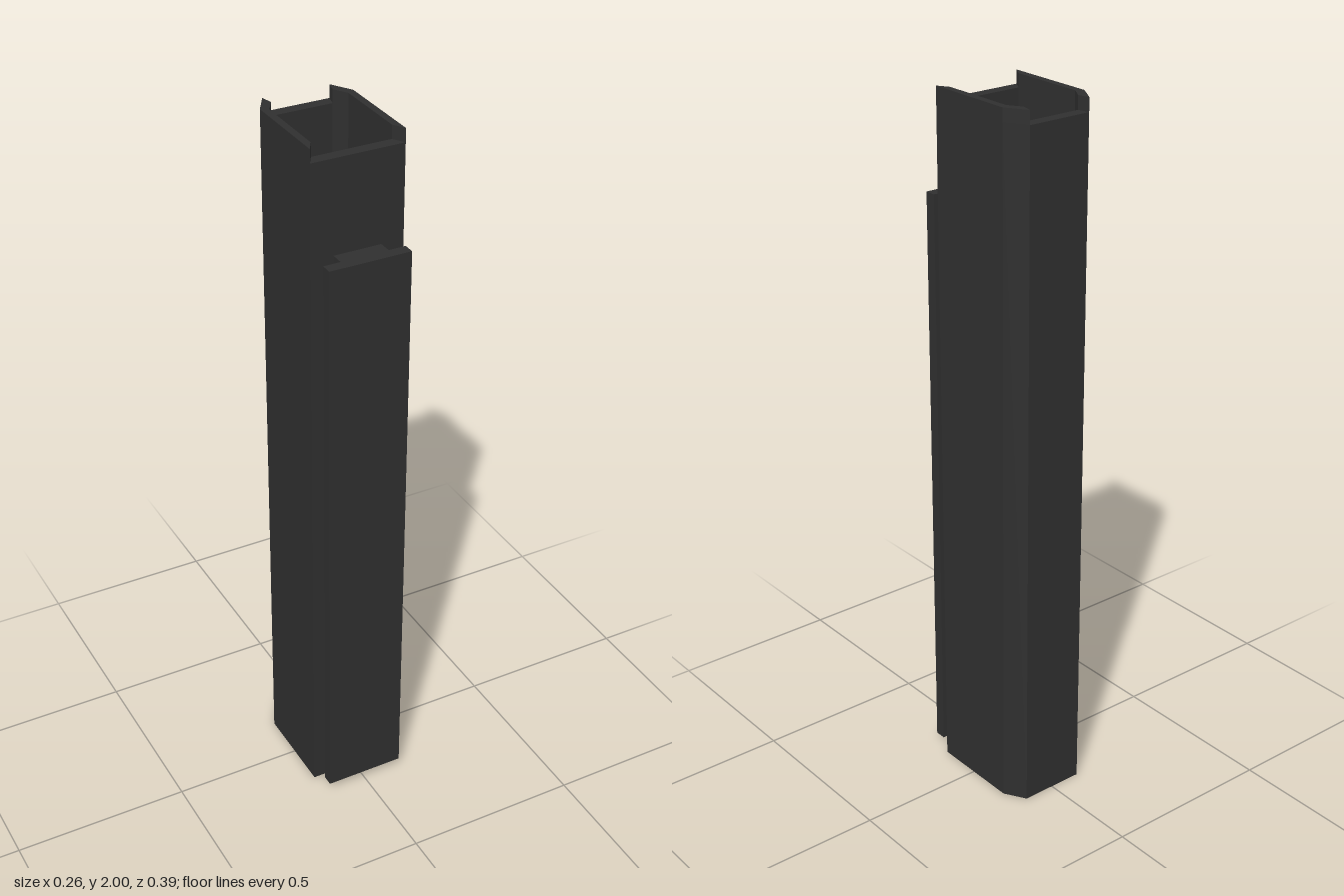
import * as THREE from 'three';

// Outlines as [x, z] for the +x half; mirrored to close the loop
const OUTER = [[0.13, 0.128], [0.13, -0.138], [0.094, -0.198]];
const INNER = [[0.11, 0.095], [0.11, -0.126], [0.086, -0.165]];
const RIM = 1.963;

const mirrored = (pts) => pts.map(([x, z]) => [-x, z]).reverse();
const loop = (half) => [...half, ...mirrored(half)];
const toPoints = (pts) => pts.map(([x, z]) => new THREE.Vector2(x, -z));

// Upright prism from an outline in the ground plane
function prism(name, material, outline, y0, y1, hole) {
  const shape = new THREE.Shape(toPoints(outline));
  if (hole) shape.holes.push(new THREE.Path(toPoints(hole)));
  const geometry = new THREE.ExtrudeGeometry(shape, { depth: y1 - y0, bevelEnabled: false });
  geometry.rotateX(-Math.PI / 2);
  geometry.translate(0, y0, 0);
  const mesh = new THREE.Mesh(geometry, material);
  mesh.name = name;
  return mesh;
}

export function createModel() {
  const group = new THREE.Group();
  group.name = 'hollowColumn';
  const darkGrey = new THREE.MeshStandardMaterial({ color: 0x2f2f2f });
  darkGrey.name = 'darkGrey';

  // Closed base and hollow tube
  group.add(prism('floor', darkGrey, loop(OUTER), 0, 0.04));
  group.add(prism('tubeWalls', darkGrey, loop(OUTER), 0.04, RIM, loop(INNER)));

  // Side walls and rear chamfers rise above the front and back rims
  const crest = [...OUTER, ...[...INNER].reverse()];
  group.add(prism('leftCrest', darkGrey, crest, RIM, 2));
  group.add(prism('rightCrest', darkGrey, mirrored(crest), RIM, 2));

  // T-shaped rail: its stem passes through the front wall
  const rail = [[0.067, 0.081], [0.067, 0.165], [0.115, 0.165], [0.115, 0.197]];
  group.add(prism('frontRail', darkGrey, loop(rail), 0.025, 1.705));

  return group;
}
